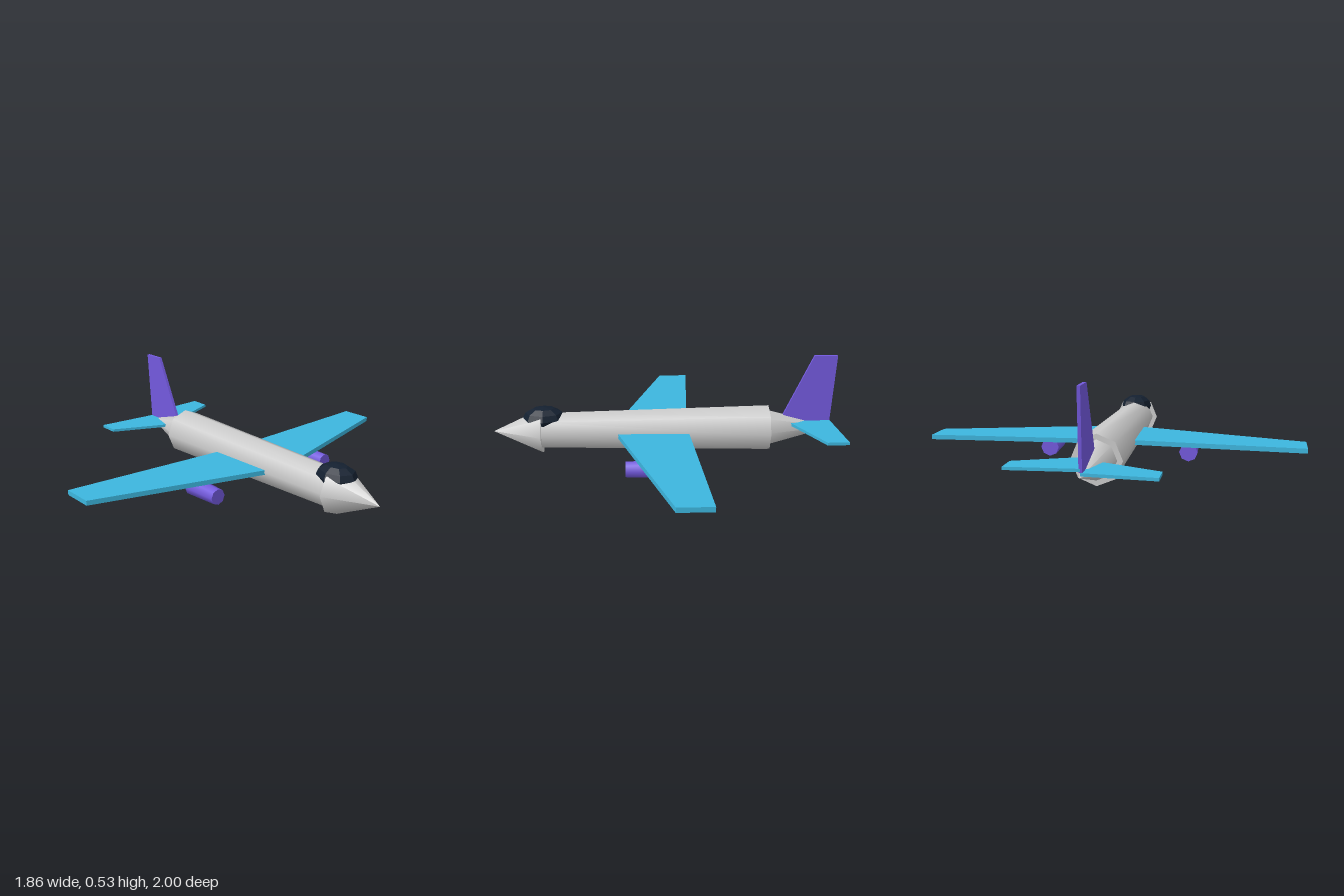
import * as THREE from 'three';

const mat = (color, extra = {}) => new THREE.MeshStandardMaterial({ color, ...extra });

export function createModel() {
  const plane = new THREE.Group();
  plane.name = 'aeroplane';
  const grey = mat(0xcccccc);
  const blue = mat(0x3cb6de);
  const purple = mat(0x7359de);
  const dark = mat(0x142030, { flatShading: true });
  const axisY = 0.13;

  const add = (name, geometry, material) => {
    const mesh = new THREE.Mesh(geometry, material);
    mesh.name = name;
    plane.add(mesh);
    return mesh;
  };

  // Eight-sided tapered tube lying along x
  const tube = (name, x0, x1, rBack, rFront, y, z, material) => {
    const g = new THREE.CylinderGeometry(rFront, rBack, x1 - x0, 8);
    g.rotateZ(-Math.PI / 2);
    g.translate((x0 + x1) / 2, y, z);
    return add(name, g, material);
  };

  // Flat slab from an outline, centred on its thickness
  const slab = (points, thickness) => {
    const shape = new THREE.Shape(points.map(([a, b]) => new THREE.Vector2(a, b)));
    const g = new THREE.ExtrudeGeometry(shape, { depth: thickness, bevelEnabled: false });
    return g.translate(0, 0, -thickness / 2);
  };

  // Horizontal surface: outline is [x, span], side is +1 or -1 along z
  const wing = (name, points, thickness, side, y) => {
    const g = slab(points.map(([x, span]) => [x, span * side]), thickness);
    g.rotateX(Math.PI / 2);
    g.translate(0, y, 0);
    return add(name, g, blue);
  };

  // Body
  tube('fuselage', -0.57, 0.66, 0.128, 0.1, axisY, 0, grey);
  tube('noseCone', 0.66, 0.925, 0.126, 0, axisY, 0, grey);
  tube('tailCone', -0.925, -0.569, 0, 0.1, axisY, 0, grey);

  // Canopy
  const glass = new THREE.SphereGeometry(1, 8, 6);
  glass.scale(0.115, 0.063, 0.09);
  add('canopy', glass, dark).position.set(0.65, 0.203, 0);

  // Wings, tailplanes and engines on each side
  const wingOutline = [[-0.124, 0], [0.28, 0], [-0.01, 1], [-0.183, 1]];
  const tailOutline = [[-0.91, 0], [-0.668, 0], [-0.82, 0.347], [-0.933, 0.347]];
  for (const side of [1, -1]) {
    const label = side > 0 ? 'Front' : 'Back';
    wing('wing' + label, wingOutline, 0.025, side, 0.128);
    wing('tailplane' + label, tailOutline, 0.015, side, side > 0 ? 0.143 : 0.162);
    tube('engine' + label, 0, 0.21, 0.05, 0.042, 0.057, side * 0.385, purple);
  }

  // Upright tail fin
  add('tailFin', slab([[-0.908, 0.15], [-0.626, 0.15], [-0.808, 0.535], [-0.933, 0.535]], 0.016), purple);

  return plane;
}
